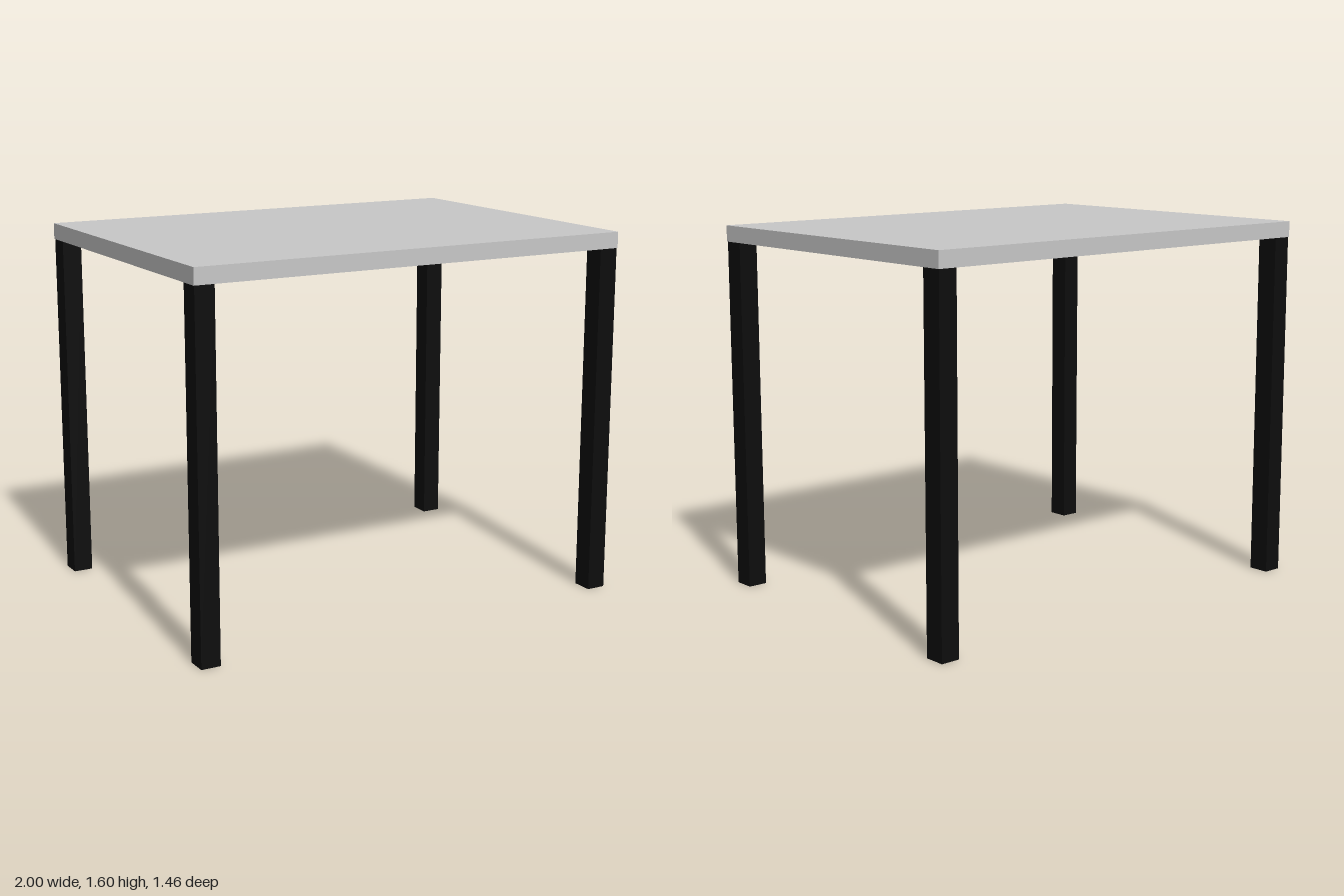
import * as THREE from 'three';

export function createModel() {
  const model = new THREE.Group();
  model.name = 'table';

  const topMaterial = new THREE.MeshStandardMaterial({ color: 0xc9c9c9 });
  topMaterial.name = 'light grey';
  const legMaterial = new THREE.MeshStandardMaterial({ color: 0x0d0d0d });
  legMaterial.name = 'black';

  const height = 1.6, thickness = 0.07, halfDepth = 0.73;
  const legHeight = height - thickness;
  const legWidth = 0.085, legDepth = 0.093;

  // Flat rectangular slab
  const top = new THREE.Mesh(new THREE.BoxGeometry(2, thickness, halfDepth * 2), topMaterial);
  top.name = 'tableTop';
  top.position.y = height - thickness / 2;
  model.add(top);

  // Four square legs, set just inside the corners
  const legGeometry = new THREE.BoxGeometry(legWidth, legHeight, legDepth);
  for (const [xName, x] of [['Left', 1], ['Right', -1]]) {
    for (const [zName, z] of [['front', 1], ['back', -1]]) {
      const leg = new THREE.Mesh(legGeometry, legMaterial);
      leg.name = `${zName}${xName}Leg`;
      leg.position.set(
        x * (0.997 - legWidth / 2),
        legHeight / 2,
        z * (halfDepth - 0.003 - legDepth / 2)
      );
      model.add(leg);
    }
  }

  return model;
}
